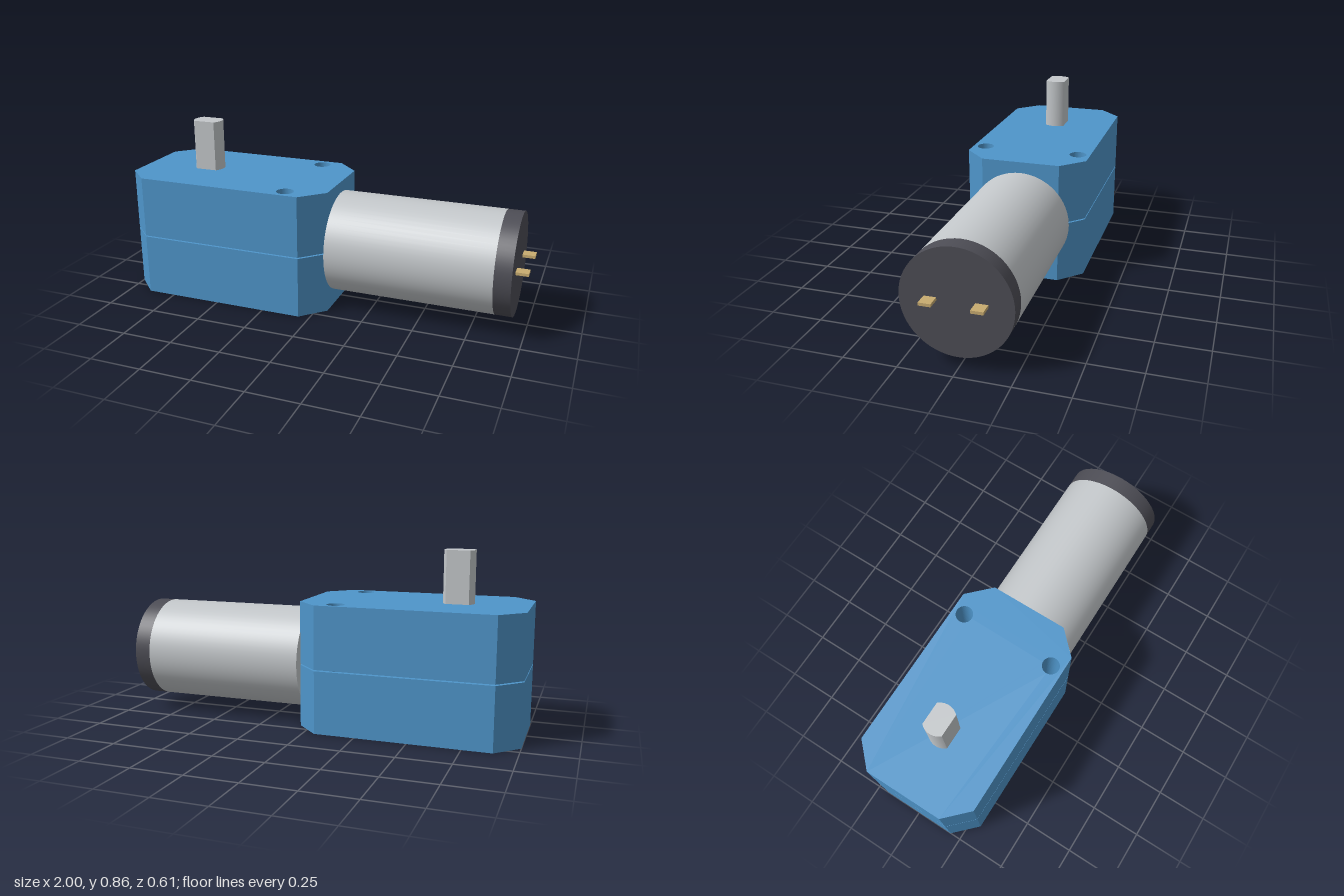
import * as THREE from 'three';

const material = (name, color) => {
  const m = new THREE.MeshStandardMaterial({ color });
  m.name = name;
  return m;
};

export function createModel() {
  const model = new THREE.Group();
  model.name = 'gearMotor';
  const blue = material('housing blue', 0x4e95ca);
  const steel = material('steel grey', 0xc3c7ca);
  const dark = material('end cap charcoal', 0x4d4d55);
  const brass = material('terminal brass', 0xc8ac70);

  const add = (name, geometry, mat, x, y, z) => {
    const mesh = new THREE.Mesh(geometry, mat);
    mesh.name = name;
    mesh.position.set(x, y, z);
    model.add(mesh);
  };
  // Extrudes a plan outline straight up
  const extrudeUp = (shape, depth) =>
    new THREE.ExtrudeGeometry(shape, { depth, bevelEnabled: false, curveSegments: 32 }).rotateX(-Math.PI / 2);

  // Gearbox housing: chamfered plan with two through holes, split into two halves
  const x0 = -1, x1 = 0.055, halfZ = 0.305, c = 0.11;
  const plan = new THREE.Shape([
    [x0 + c, -halfZ], [x1 - c, -halfZ], [x1, -halfZ + c], [x1, halfZ - c],
    [x1 - c, halfZ], [x0 + c, halfZ], [x0, halfZ - c], [x0, -halfZ + c],
  ].map(([x, z]) => new THREE.Vector2(x, z)));
  for (const side of [-1, 1]) {
    plan.holes.push(new THREE.Path().absarc(-0.14, side * 0.243, 0.042, 0, Math.PI * 2, true));
  }
  add('lowerHousing', extrudeUp(plan, 0.303), blue, 0, 0, 0);
  add('upperHousing', extrudeUp(plan, 0.303), blue, 0, 0.309, 0);

  // Output shaft: round bar with two flats
  const r = 0.074, a = Math.asin(0.05 / r);
  const section = new THREE.Shape();
  section.absarc(0, 0, r, -a, a, false);
  section.absarc(0, 0, r, Math.PI - a, Math.PI + a, false);
  section.closePath();
  add('outputShaft', extrudeUp(section, 0.252), steel, -0.667, 0.61, 0);

  // Motor can and end cap, lying along x
  const barrel = (length) => new THREE.CylinderGeometry(0.25, 0.25, length, 64).rotateZ(-Math.PI / 2);
  const axisY = 0.307;
  add('motorCan', barrel(0.805), steel, 0.4575, axisY, 0);
  add('motorEndCap', barrel(0.08), dark, 0.90, axisY, 0);

  // Terminals
  for (const side of [-1, 1]) {
    add(side > 0 ? 'frontTerminal' : 'backTerminal',
      new THREE.BoxGeometry(0.06, 0.014, 0.055), brass, 0.97, 0.315, side * 0.111);
  }
  return model;
}
